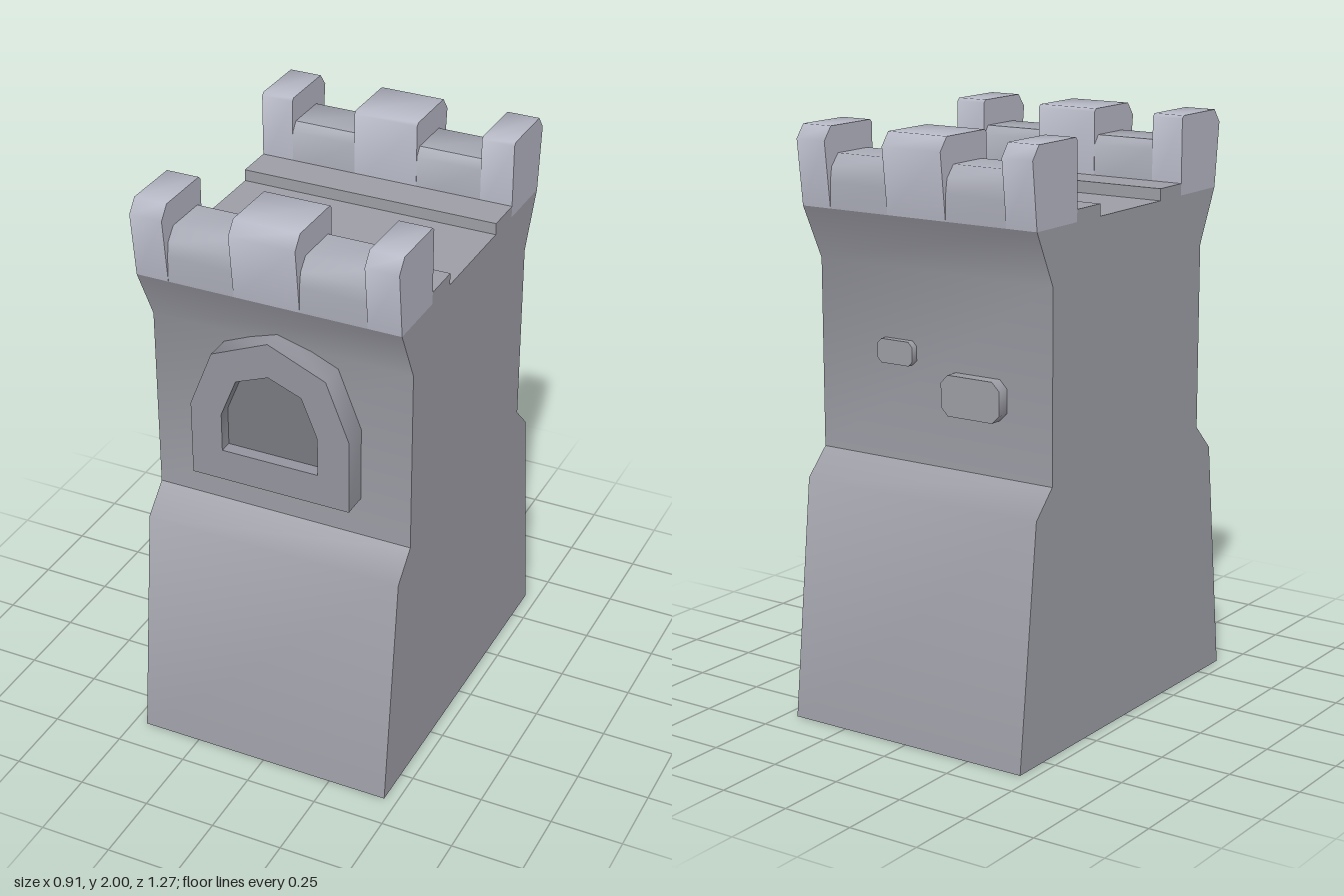
import * as THREE from 'three';
import { toCreasedNormals } from 'three/addons/utils/BufferGeometryUtils.js';

const HALF = 0.455; // half width of the tower

const paint = (color) => new THREE.MeshStandardMaterial({ color });
const stoneGrey = paint(0x9d9da6);
const merlonGrey = paint(0xb5b7c4);
const parapetGrey = paint(0xa7a9b4);
const frameGrey = paint(0x93949d);
const paneGrey = paint(0x797a81);

const shapeOf = (pts) => new THREE.Shape(pts.map(([a, b]) => new THREE.Vector2(a, b)));
const extrude = (shape, depth) => new THREE.ExtrudeGeometry(shape, { depth, bevelEnabled: false });

// Adds a mesh whose edges stay sharp above the crease angle (degrees)
function addMesh(parent, name, geometry, material, crease) {
  const mesh = new THREE.Mesh(toCreasedNormals(geometry, THREE.MathUtils.degToRad(crease)), material);
  mesh.name = name;
  parent.add(mesh);
  return mesh;
}

// Extrudes a (z, y) side profile across x0..x1
function sideExtrude(pts, x0, x1) {
  return extrude(shapeOf(pts), x1 - x0).rotateY(-Math.PI / 2).translate(x1, 0, 0);
}

// Completes a right-hand outline with its mirror image
const mirrored = (pts) => [
  ...pts,
  ...pts.filter(([a]) => a !== 0).reverse().map(([a, b]) => [-a, b]),
];

export function createModel() {
  const tower = new THREE.Group();
  tower.name = 'tower';

  // Body: flared base, straight shaft, flared head and the walkway steps
  const body = mirrored([
    [0.635, 0], [0.545, 0.82], [0.455, 0.91], [0.455, 1.55], [0.545, 1.735],
    [0.32, 1.735], [0.32, 1.775], [0.185, 1.775], [0.185, 1.735],
  ]);
  addMesh(tower, 'body', sideExtrude(body, -HALF, HALF), stoneGrey, 42);

  // Battlements: tall merlons with lower parapet pieces between them
  const merlon = [
    [0.32, 1.735], [0.545, 1.735], [0.57, 1.955], [0.535, 2], [0.33, 2], [0.32, 1.99],
  ];
  const parapet = [
    [0.32, 1.735], [0.545, 1.735], [0.543, 1.82], [0.535, 1.87], [0.5, 1.91],
    [0.345, 1.91], [0.322, 1.88],
  ];
  const edges = [-HALF, -0.342, -0.113, 0.113, 0.342, HALF];
  for (const side of [1, -1]) {
    const battlement = new THREE.Group();
    battlement.name = side > 0 ? 'frontBattlement' : 'backBattlement';
    for (let i = 0; i < 5; i++) {
      const isMerlon = i % 2 === 0;
      const pts = (isMerlon ? merlon : parapet).map(([z, y]) => [z * side, y]);
      const geometry = sideExtrude(pts, edges[i], edges[i + 1]);
      if (isMerlon) addMesh(battlement, 'merlon', geometry, merlonGrey, 62);
      else addMesh(battlement, 'parapet', geometry, parapetGrey, 52);
    }
    tower.add(battlement);
  }

  // Window: pointed frame with a recessed pane
  const opening = mirrored([[0.17, 1.16], [0.17, 1.295], [0.115, 1.43], [0, 1.475]]);
  const frame = shapeOf(mirrored([[0.28, 1.05], [0.28, 1.31], [0.2, 1.51], [0, 1.595]]));
  frame.holes.push(shapeOf(opening));
  addMesh(tower, 'windowFrame', extrude(frame, 0.1), frameGrey, 50).position.z = 0.445;
  addMesh(tower, 'windowPane', extrude(shapeOf(opening), 0.055), paneGrey, 50).position.z = 0.445;

  // Raised stones on the back wall, with clipped corners
  const addStone = (x, y, w, h, reach) => {
    const a = w / 2, b = h / 2, c = h * 0.2;
    const outline = shapeOf(mirrored([[a - c, -b], [a, -b + c], [a, b - c], [a - c, b]]));
    addMesh(tower, 'stone', extrude(outline, reach + 0.01), stoneGrey, 50)
      .position.set(x, y, -0.455 - reach);
  };
  addStone(0.14, 1.275, 0.14, 0.08, 0.025);
  addStone(-0.17, 1.165, 0.225, 0.135, 0.045);

  return tower;
}
